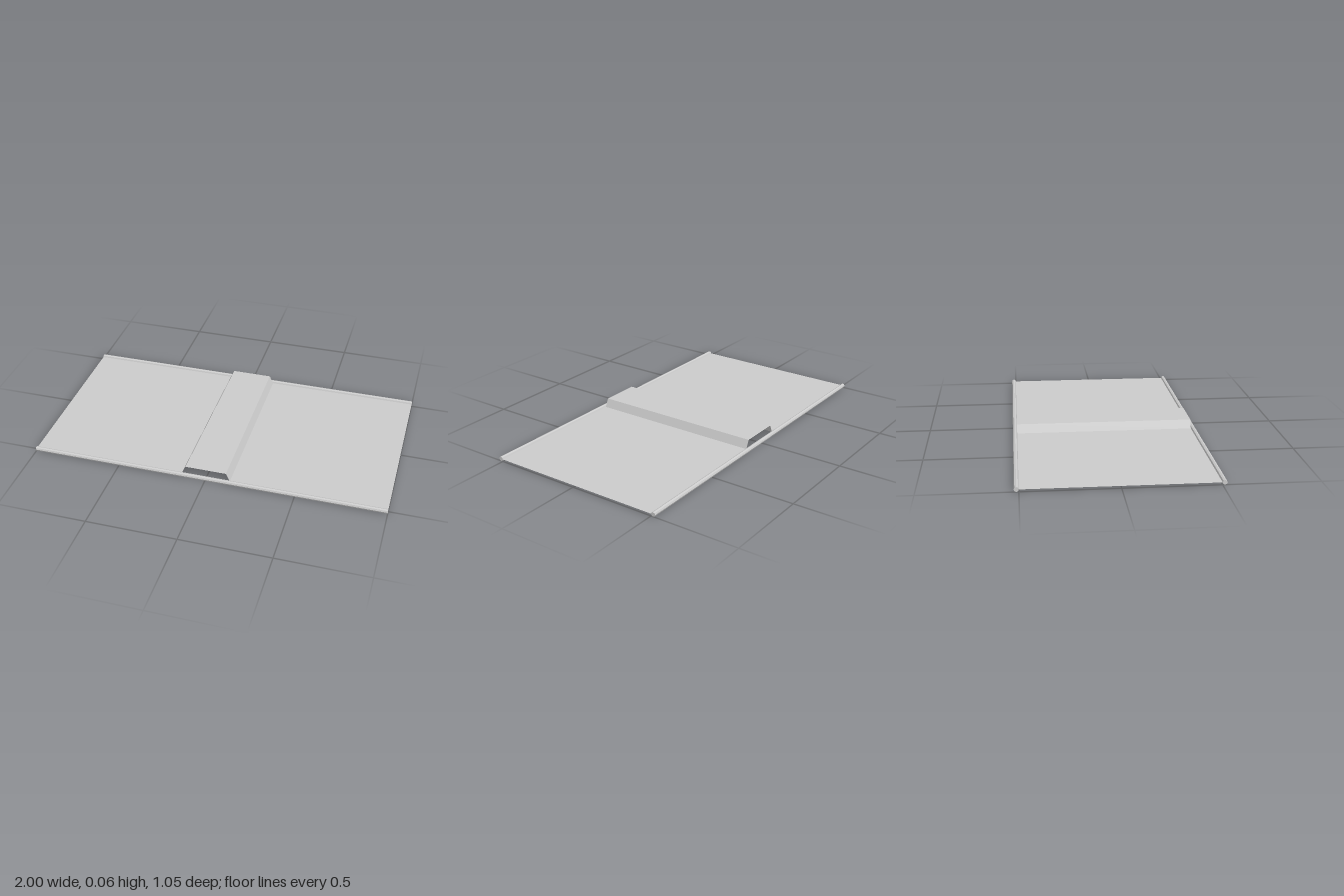
import * as THREE from 'three';

const ROD_RADIUS = 0.0125;
const DEPTH = 1;

export function createModel() {
  const group = new THREE.Group();
  const material = new THREE.MeshStandardMaterial({
    color: 0xcccccc, flatShading: true, side: THREE.DoubleSide,
  });

  // Thin sheet folded into a raised ridge across the middle: [x, y] profile
  const base = ROD_RADIUS, top = 0.06;
  const profile = [
    [-1, base], [-0.137, base], [-0.115, top],
    [0.115, top], [0.137, base], [1, base],
  ];
  const columns = profile.length;
  const sheetGeometry = new THREE.PlaneGeometry(2, DEPTH, columns - 1, 1).rotateX(-Math.PI / 2);
  const position = sheetGeometry.attributes.position;
  for (let i = 0; i < position.count; i++) {
    const [x, y] = profile[i % columns];
    position.setX(i, x);
    position.setY(i, y);
  }
  sheetGeometry.computeVertexNormals();
  const sheet = new THREE.Mesh(sheetGeometry, material);
  sheet.name = 'foldedSheet';
  group.add(sheet);

  // Slim rods along the front and back edges
  const rodGeometry = new THREE.CylinderGeometry(ROD_RADIUS, ROD_RADIUS, 2, 8).rotateZ(Math.PI / 2);
  for (const [name, side] of [['frontRod', 1], ['backRod', -1]]) {
    const rod = new THREE.Mesh(rodGeometry, material);
    rod.name = name;
    rod.position.set(0, ROD_RADIUS, side * (DEPTH / 2 + ROD_RADIUS));
    group.add(rod);
  }
  return group;
}
